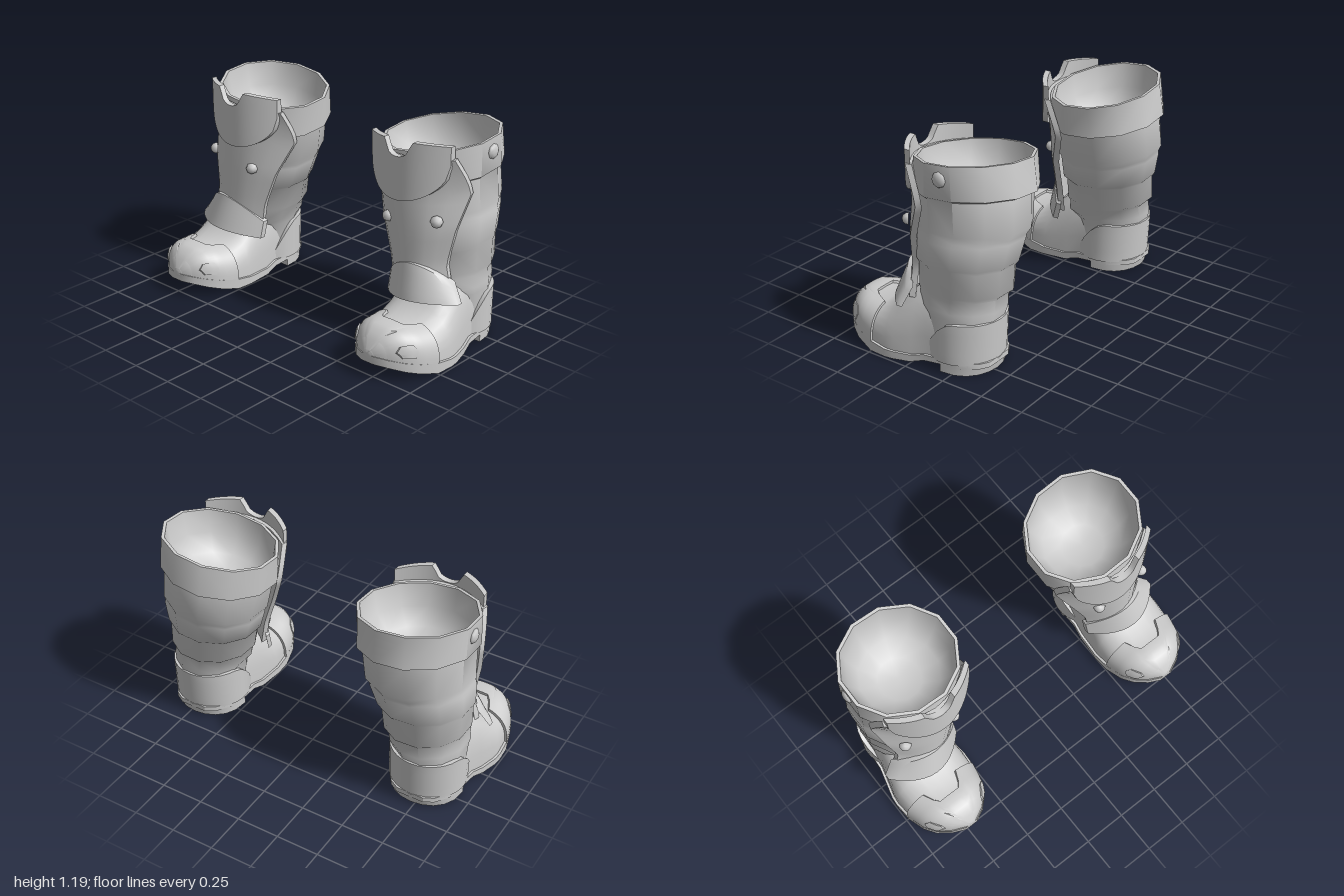
import * as THREE from 'three';
import { toCreasedNormals } from 'three/addons/utils/BufferGeometryUtils.js';

const material = new THREE.MeshStandardMaterial({ color: 0xcccccc });
const { sin, cos, abs, sqrt, PI } = Math;
const clamp = t => Math.min(1, Math.max(0, t));

// Linear look-up in rows sorted by their first column
function lookup(rows, t) {
  let i = 1;
  while (i < rows.length - 1 && t > rows[i][0]) i++;
  const a = rows[i - 1], b = rows[i];
  const k = clamp((t - a[0]) / (b[0] - a[0]));
  return a.map((v, j) => v + (b[j] - v) * k);
}

// Closed skin over rings of [x, y, z]; side mirrors x, winding is set to face outward
function loft(name, rings, side, crease = 0.7) {
  const tris = [], n = rings[0].length;
  const V = rings.map(r => r.map(p => new THREE.Vector3(p[0] * side, p[1], p[2])));
  const cross = new THREE.Vector3(), e = new THREE.Vector3();
  let volume = 0;
  const add = (a, b, c) => {
    cross.subVectors(b, a).cross(e.subVectors(c, a));
    if (cross.length() < 1e-9) return;
    volume += a.dot(cross.crossVectors(b, c));
    tris.push([a, b, c]);
  };
  for (let i = 0; i + 1 < V.length; i++) for (let j = 0; j < n; j++) {
    const k = (j + 1) % n;
    add(V[i][j], V[i][k], V[i + 1][k]);
    add(V[i][j], V[i + 1][k], V[i + 1][j]);
  }
  const pts = tris.flatMap(t => (volume < 0 ? [t[0], t[2], t[1]] : t));
  const geo = toCreasedNormals(new THREE.BufferGeometry().setFromPoints(pts), crease);
  const mesh = new THREE.Mesh(geo, material);
  mesh.name = name;
  return mesh;
}

// Close both ends of a ring list with a collapsed ring
function capped(rings) {
  const flat = r => {
    const c = [0, 1, 2].map(k => r.reduce((s, p) => s + p[k], 0) / r.length);
    return r.map(() => c);
  };
  return [flat(rings[0]), ...rings, flat(rings[rings.length - 1])];
}

// Thin solid between two surfaces over u, v in 0..1
function slab(name, nu, nv, front, back, side) {
  const rings = [];
  for (let j = 0; j <= nv; j++) {
    const F = [], B = [];
    for (let i = 0; i <= nu; i++) {
      F.push(front(i / nu, j / nv));
      B.push(back(i / nu, j / nv));
    }
    const rev = [...B].reverse();
    if (j === 0) rings.push([...B, ...rev]);
    rings.push([...F, ...rev]);
    if (j === nv) rings.push([...B, ...rev]);
  }
  return loft(name, rings, side);
}

// Shaft rings: y, centre x, centre z, radius x, radius z (steps form the overlapping bands)
const SHAFT = [
  [0.05, 0.725, -0.21, 0.19, 0.2], [0.3, 0.725, -0.19, 0.2, 0.225],
  [0.34, 0.715, -0.18, 0.215, 0.245], [0.405, 0.705, -0.18, 0.217, 0.24],
  [0.43, 0.70, -0.19, 0.233, 0.256], [0.565, 0.69, -0.19, 0.245, 0.255],
  [0.585, 0.683, -0.19, 0.26, 0.272], [0.715, 0.665, -0.205, 0.282, 0.285],
  [0.735, 0.66, -0.205, 0.28, 0.287], [0.77, 0.65, -0.21, 0.289, 0.302],
  [0.945, 0.63, -0.2, 0.302, 0.297], [0.955, 0.625, -0.2, 0.323, 0.325],
  [1.135, 0.617, -0.195, 0.328, 0.3], [1.135, 0.617, -0.195, 0.31, 0.282],
  [1, 0.62, -0.2, 0.285, 0.27], [0.9, 0.63, -0.2, 0.22, 0.21], [0.85, 0.635, -0.2, 0.12, 0.12],
];

// Foot stations: z, centre x, half width, upper top, sole bottom, sole top
const FOOT = [
  [-0.412, 0.725, 0.08, 0.3, 0.045, 0.075], [-0.38, 0.725, 0.135, 0.38, 0.045, 0.075],
  [-0.3, 0.725, 0.19, 0.42, 0.045, 0.075], [-0.18, 0.725, 0.21, 0.44, 0.045, 0.075],
  [-0.08, 0.73, 0.212, 0.45, 0.035, 0.07], [0, 0.735, 0.228, 0.43, 0.01, 0.05],
  [0.1, 0.745, 0.245, 0.345, 0.007, 0.05], [0.15, 0.745, 0.25, 0.298, 0.006, 0.052],
  [0.25, 0.745, 0.243, 0.248, 0.005, 0.065], [0.36, 0.742, 0.215, 0.258, 0.035, 0.09],
  [0.43, 0.74, 0.175, 0.252, 0.058, 0.108], [0.49, 0.735, 0.11, 0.21, 0.08, 0.125],
  [0.525, 0.73, 0.04, 0.15, 0.09, 0.135],
];

// Point on the foot upper at angle a (0 outer, PI inner), raised by d
function upper(z, a, d = 0) {
  const [, cx, w, top, , base] = lookup(FOOT, z);
  const c = cos(a), s = Math.max(0, sin(a));
  return [cx + Math.sign(c) * (w - 0.014 + d) * abs(c) ** 0.75,
    base - 0.01 + (top - base + 0.01 + d) * s ** 0.75, z];
}

// Shin plate rows: y, centre x, half width, front z, edge z
const PLATE = [
  [0.34, 0.7, 0.195, 0.15, 0.045], [0.5, 0.668, 0.19, 0.145, 0.045], [0.7, 0.65, 0.245, 0.15, 0.025],
  [0.9, 0.625, 0.308, 0.155, -0.05], [1, 0.62, 0.295, 0.155, -0.005], [1.09, 0.615, 0.275, 0.155, 0.045],
];

function boot(side) {
  const g = new THREE.Group();
  g.name = side > 0 ? 'leftBoot' : 'rightBoot';

  // Banded shaft with a bowl-shaped opening, rims tilted up to the outside and back
  const shaft = SHAFT.map(([y, cx, cz, rx, rz]) => Array.from({ length: 12 }, (_, i) => {
    const a = (i + 0.5) / 12 * 2 * PI, t = Math.min(1, y);
    return [cx + rx * 1.02 * cos(a), y + t * (0.125 * rx * cos(a) - 0.1 * rz * sin(a)), cz + rz * 1.02 * sin(a)];
  }));
  g.add(loft('shaft', capped(shaft), side, 0.95));

  // Foot upper, sole and heel block
  const foot = FOOT.slice(3).map(r => Array.from({ length: 17 }, (_, i) => upper(r[0], i / 16 * PI)));
  g.add(loft('footUpper', capped(foot), side));
  const sole = FOOT.map(([z, cx, w, , b, t]) =>
    [[cx - w, b, z], [cx + w, b, z], [cx + w, t, z], [cx - w, t, z]]);
  g.add(loft('sole', capped(sole), side, 0.5));
  const heel = [[0, 0.22], [0.072, 0.236]].map(([y, d]) => Array.from({ length: 11 }, (_, i) => {
    const a = i / 10 * PI;
    return [0.725 + 0.208 * cos(a), y, -0.18 - d * Math.max(0, sin(a)) ** 0.8];
  }));
  g.add(loft('heelBlock', capped(heel), side));

  // Heel counter wrapped round the back
  const counter = d => (u, v) => {
    const a = (u * 2 - 1) * 2.1, k = clamp((abs(a) - 1.3) / 0.8);
    const y = 0.065 + v * (0.235 - 0.18 * k ** 1.6);
    return [0.725 + (0.212 + d) * sin(a), y, -0.2 - (0.205 + d + 0.012 * v) * cos(a)];
  };
  g.add(slab('heelCounter', 20, 4, counter(0.008), counter(-0.03), side));

  // Toe cap with a notched rear edge, tapering into the tip
  const cap = d => (u, v) => {
    const a = u * PI;
    const start = 0.245 + 0.095 * clamp((0.37 - abs(cos(a))) / 0.12);
    return upper(start + (0.52 - start) * v, a, d * (1 - v ** 4));
  };
  g.add(slab('toeCap', 32, 7, cap(0.014), cap(-0.01), side));

  // Small hexagonal patches on the toe cap
  for (const inner of [0, 1]) {
    const patch = d => (u, v) => {
      const a = 0.14 + 0.42 * u, half = 0.028 + 0.018 * (1 - abs(u * 2 - 1));
      return upper(0.415 + (v * 2 - 1) * half, inner ? PI - a : a, d);
    };
    g.add(slab('toePatch', 4, 3, patch(0.02), patch(0), side));
  }

  // Shin plate
  const plate = d => (u, v) => {
    const [y, cx, w, zf, ze] = lookup(PLATE, 0.34 + 0.75 * v), t = u * 2 - 1;
    return [cx + (w - d * 0.3) * t, y + 0.015 * t, zf - (zf - ze) * abs(t) ** 1.9 - d];
  };
  g.add(slab('shinPlate', 8, 15, plate(0), plate(0.035), side));

  // Half-moon knee plate with a notch in its top edge
  const knee = d => (u, v) => {
    const t = u * 2 - 1, x = 0.262 * t;
    const notch = abs(x) < 0.075 ? 0.03 + 0.06 * sqrt(1 - (x / 0.075) ** 2) : 0;
    const top = 1.185 - 0.02 * t * t - notch;
    const bottom = 1.06 - 0.205 * sqrt(Math.max(0, 1 - t * t));
    return [0.613 + x, bottom + (top - bottom) * v + 0.012 * t, 0.175 - 0.115 * t * t - d];
  };
  g.add(slab('kneePlate', 28, 5, knee(0), knee(0.035), side));

  // Flared instep guard
  const guard = d => (u, v) => {
    const t = u * 2 - 1, q = t * t;
    const top = 0.515 - 0.115 * q, bottom = 0.325 - 0.025 * q;
    const w = 0.205 + 0.033 * v, zf = 0.155 + 0.055 * v, ze = 0.05 + 0.025 * v;
    return [0.69 + 0.036 * v + w * t, top + (bottom - top) * v + 0.025 * t, zf - (zf - ze) * q - d];
  };
  g.add(slab('instepGuard', 12, 4, guard(0), guard(0.035), side));

  // Rivets: name, x, y, z, radius, depth, turn about y
  for (const [name, x, y, z, r, depth, turn] of [
    ['plateStud', 0.82, 0.765, 0.09, 0.035, 0.038, 0.6],
    ['plateStud', 0.515, 0.72, 0.105, 0.035, 0.038, -0.5],
    ['cuffStud', 0.94, 1.1, -0.21, 0.043, 0.022, PI / 2],
  ]) {
    const stud = new THREE.Mesh(new THREE.SphereGeometry(1, 8, 3, 0, 2 * PI, 0, PI / 2).rotateX(PI / 2), material);
    stud.name = name;
    stud.scale.set(r, r, depth);
    stud.position.set(x * side, y, z);
    stud.rotation.y = turn * side;
    g.add(stud);
  }
  return g;
}

export function createModel() {
  const model = new THREE.Group();
  model.name = 'armouredBoots';
  model.add(boot(1), boot(-1));
  return model;
}
